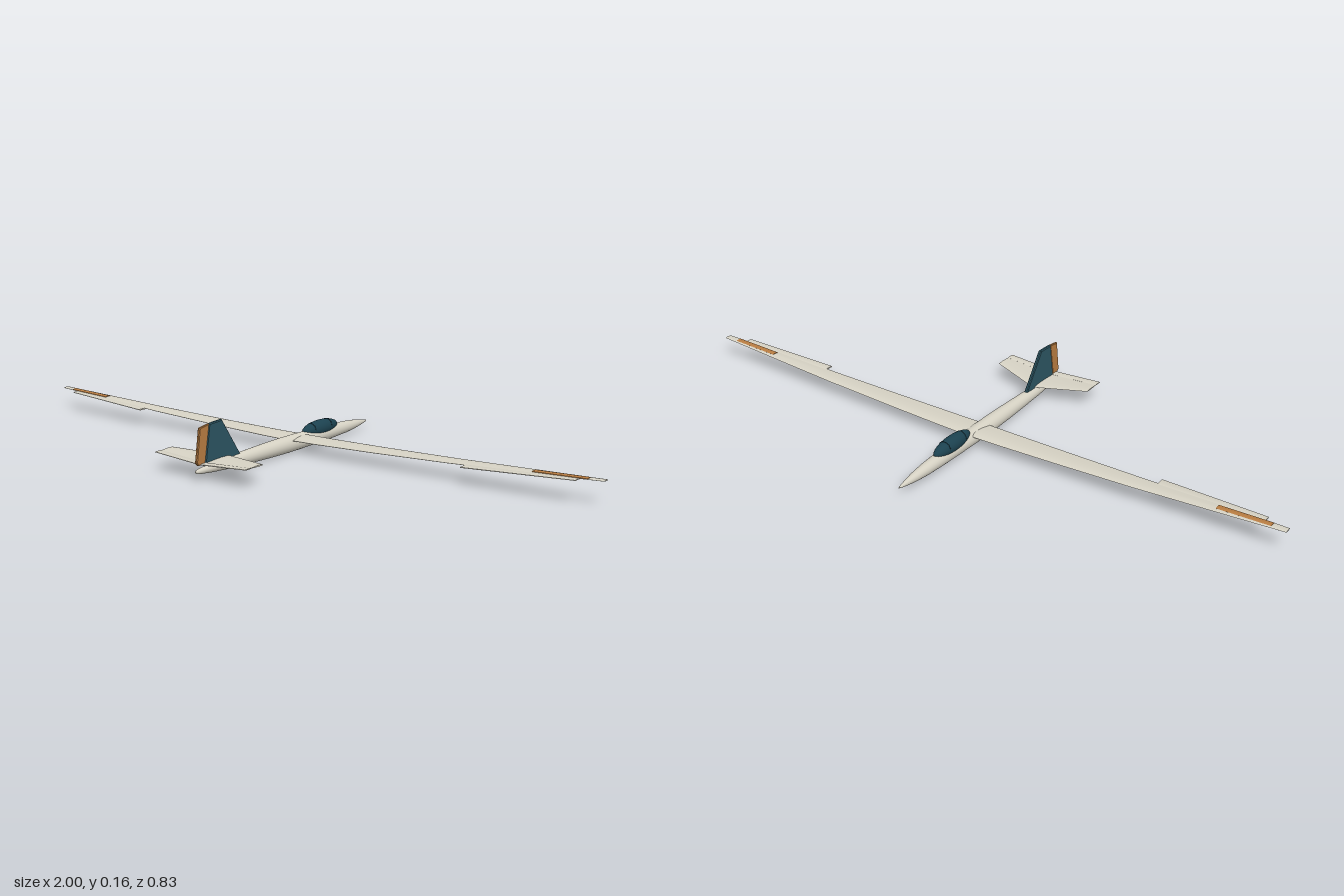
import * as THREE from 'three';
import { toCreasedNormals } from 'three/addons/utils/BufferGeometryUtils.js';

const paint = (color) => new THREE.MeshStandardMaterial({ color });
const cream = paint(0xd6d2c4), teal = paint(0x2c5562), glass = paint(0x1c4250),
  dark = paint(0x16323c), orange = paint(0xb97d42);

// Closed aerofoil outline: [fraction of chord, fraction of half thickness]
const AEROFOIL = [[0, 0], [0.05, 0.5], [0.15, 0.85], [0.35, 1], [0.65, 0.7], [1, 0.08],
  [1, -0.08], [0.65, -0.55], [0.35, -0.8], [0.15, -0.7], [0.05, -0.45]];
const SLAB = [[0, 0.5], [0.1, 1], [0.9, 1], [1, 0.4], [1, -0.4], [0.9, -1], [0.1, -1], [0, -0.5]];

// Skin through stations along x: [x, leading z, trailing z, y, thickness]
function loft(stations, outline) {
  const n = outline.length, pos = [], idx = [];
  for (const [x, z0, z1, y, t] of stations)
    for (const [c, h] of outline) pos.push(x, y + h * t / 2, z0 + c * (z1 - z0));
  for (let i = 0; i < stations.length - 1; i++)
    for (let j = 0; j < n; j++) {
      const a = i * n + j, b = i * n + (j + 1) % n;
      idx.push(a, b, a + n, b, b + n, a + n);
    }
  const last = (stations.length - 1) * n;
  for (let j = 1; j < n - 1; j++)
    idx.push(0, j + 1, j, last, last + j, last + j + 1);
  const g = new THREE.BufferGeometry();
  g.setAttribute('position', new THREE.Float32BufferAttribute(pos, 3));
  g.setIndex(idx);
  return toCreasedNormals(g, 0.7);
}

// Stations for the left half, mirrored to the right half
const bothSides = (half) =>
  [...half.slice(half[0][0] === 0 ? 1 : 0).reverse().map(([x, ...r]) => [-x, ...r]), ...half];
const flip = (half) => half.slice().reverse().map(([x, ...r]) => [-x, ...r]);

// Upright panel drawn as [z, y] corners, with thickness across x
function panel(corners, thick) {
  const s = new THREE.Shape(corners.map(([z, y]) => new THREE.Vector2(-z, y)));
  const bevel = thick * 0.25;
  const g = new THREE.ExtrudeGeometry(s, {
    depth: thick - 2 * bevel, bevelThickness: bevel, bevelSize: bevel,
    bevelOffset: -bevel, bevelSegments: 1,
  });
  g.translate(0, 0, bevel - thick / 2);
  g.rotateY(Math.PI / 2);
  return g;
}

export function createModel() {
  const model = new THREE.Group();
  const add = (name, geometry, material) => {
    const m = new THREE.Mesh(geometry, material);
    m.name = name;
    model.add(m);
    return m;
  };

  // Slim round fuselage, nose toward -z
  const profile = [[0, -0.414], [0.0035, -0.405], [0.009, -0.375], [0.014, -0.34], [0.0185, -0.29],
    [0.0215, -0.22], [0.0235, -0.14], [0.025, -0.04], [0.025, 0.03], [0.0235, 0.11], [0.0205, 0.2],
    [0.0175, 0.28], [0.013, 0.35], [0.008, 0.4], [0.005, 0.414], [0, 0.414]];
  const body = new THREE.LatheGeometry(profile.map(([r, z]) => new THREE.Vector2(r, z)), 28);
  body.rotateX(Math.PI / 2);
  add('fuselage', body, cream).position.y = 0.025;

  // Long wing with gentle dihedral
  const wing = [[0, -0.083, 0.004, 0.038, 0.015], [0.1, -0.082, 0.002, 0.039, 0.013],
    [0.3, -0.078, -0.004, 0.043, 0.011], [0.55, -0.073, -0.013, 0.050, 0.009],
    [0.8, -0.066, -0.025, 0.060, 0.006], [1, -0.06, -0.036, 0.068, 0.004]];
  add('wing', loft(bothSides(wing), AEROFOIL), cream);

  // Ailerons and coloured wing-tip stripes
  const aileron = [[0.6, -0.025, 0.01, 0.051, 0.004], [0.93, -0.04, -0.013, 0.064, 0.003]];
  const stripe = [[0.795, -0.054, -0.033, 0.0619, 0.004], [0.955, -0.055, -0.035, 0.0672, 0.004]];
  for (const [side, pick] of [['left', (h) => h], ['right', flip]]) {
    add(side + 'Aileron', loft(pick(aileron), SLAB), cream);
    add(side + 'TipStripe', loft(pick(stripe), SLAB), orange);
  }

  // Tailplane and elevator
  add('tailplane', loft(bothSides([[0, 0.27, 0.382, 0.044, 0.009],
    [0.165, 0.325, 0.382, 0.055, 0.005]]), AEROFOIL), cream);
  add('elevator', loft(bothSides([[0, 0.376, 0.402, 0.044, 0.004],
    [0.165, 0.376, 0.402, 0.055, 0.003]]), SLAB), cream);

  // Fin and rudder
  add('fin', panel([[0.228, 0.042], [0.308, 0.157], [0.363, 0.154], [0.382, 0.036],
    [0.26, 0.036]], 0.011), teal);
  add('rudder', panel([[0.362, 0.154], [0.402, 0.148], [0.416, 0.05], [0.408, 0.042],
    [0.381, 0.042]], 0.009), orange);

  // Canopy with frame hoops
  const canopy = add('canopy', new THREE.SphereGeometry(1, 32, 20), glass);
  canopy.scale.set(0.0235, 0.0245, 0.085);
  canopy.position.set(0, 0.047, -0.16);
  for (const z of [-0.115, -0.195]) {
    const k = Math.sqrt(1 - ((z + 0.16) / 0.085) ** 2);
    const hoop = add('canopyFrame', new THREE.TorusGeometry(1, 0.045, 6, 24, Math.PI), dark);
    hoop.scale.set(0.0235 * k, 0.0245 * k, 0.03);
    hoop.position.set(0, 0.047, z);
  }
  return model;
}
